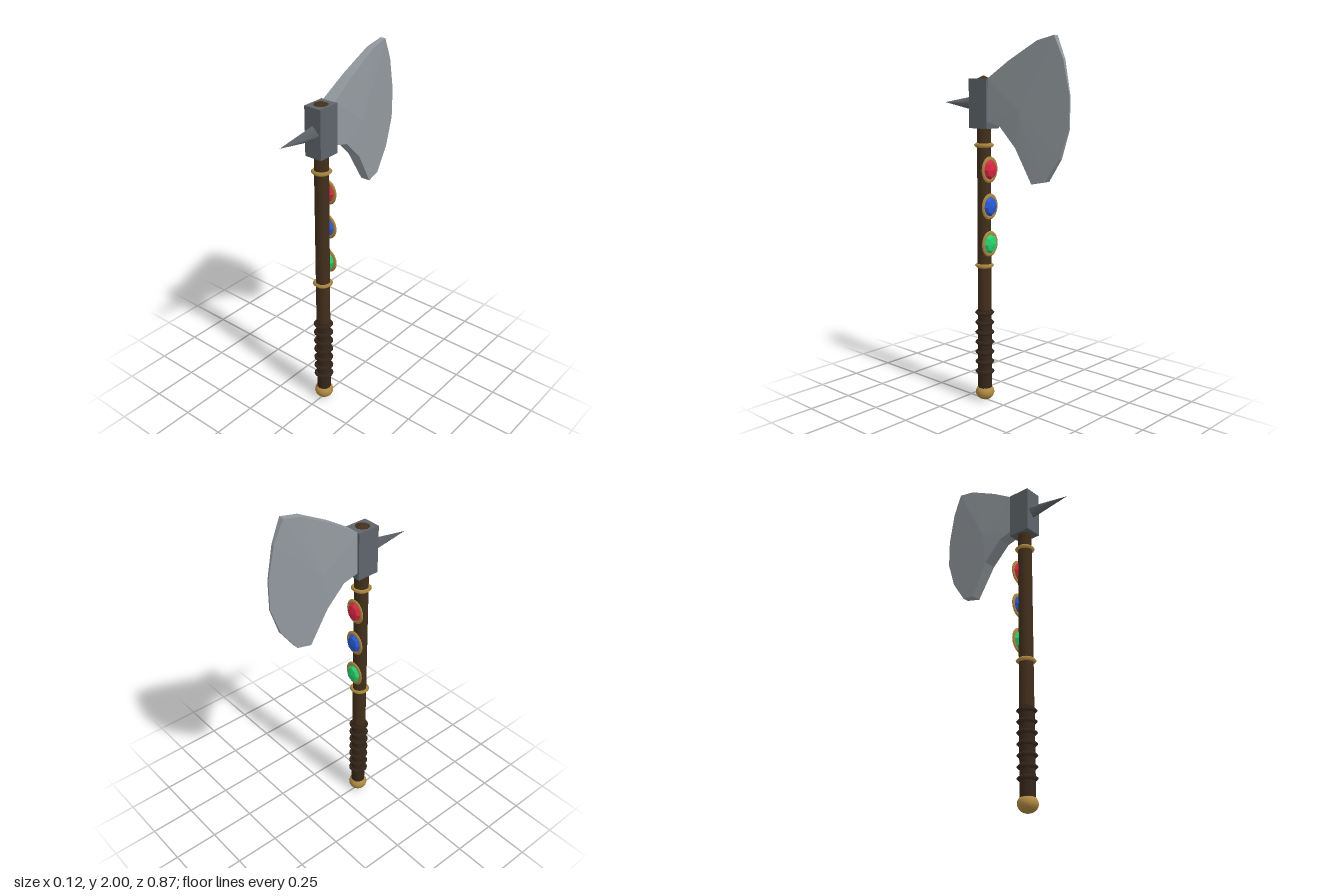
import * as THREE from 'three';

const mat = (name, color) => {
  const m = new THREE.MeshStandardMaterial({ color });
  m.name = name;
  return m;
};

// Bevelled blade: an outline of [z, y, half thickness] fanned to a raised centre on each side
function bladeGeometry(outline, centre) {
  const pos = [];
  const point = ([z, y, h], side) => [h * side, y, z];
  const tri = (a, b, c) => pos.push(...a, ...b, ...c);
  outline.forEach((a, i) => {
    const b = outline[(i + 1) % outline.length];
    // Left face, right face, then the rim
    tri(point(centre, 1), point(b, 1), point(a, 1));
    tri(point(centre, -1), point(a, -1), point(b, -1));
    tri(point(a, 1), point(b, 1), point(b, -1));
    tri(point(a, 1), point(b, -1), point(a, -1));
  });
  const g = new THREE.BufferGeometry();
  g.setAttribute('position', new THREE.Float32BufferAttribute(pos, 3));
  g.computeVertexNormals();
  return g;
}

export function createModel() {
  const axe = new THREE.Group();
  axe.name = 'battleAxe';
  const wood = mat('wood', 0x422f1b);
  const leather = mat('leather', 0x35261a);
  const gold = mat('gold', 0xb08a42);
  const iron = mat('iron', 0x5e656a);
  const steel = mat('steel', 0x92999e);
  const gems = [
    ['redGem', 1.31, mat('red', 0xd82742)],
    ['blueGem', 1.11, mat('blue', 0x2a58d4)],
    ['greenGem', 0.905, mat('green', 0x28d06e)],
  ];
  gems.forEach(([, , m]) => { m.flatShading = true; });
  const shaftZ = 0.141;

  const add = (name, geometry, material, x, y, z) => {
    const mesh = new THREE.Mesh(geometry, material);
    mesh.name = name;
    mesh.position.set(x, y, z);
    axe.add(mesh);
    return mesh;
  };

  // Sharp-edged ring around the shaft
  const addRing = (name, material, y) => {
    const ring = add(name, new THREE.TorusGeometry(0.042, 0.012, 4, 16), material, 0, y, shaftZ);
    ring.rotation.x = Math.PI / 2;
  };

  // Shaft, its pointed cap, the grip and the pommel
  add('shaft', new THREE.CylinderGeometry(0.038, 0.039, 1.73, 12), wood, 0, 0.925, shaftZ);
  add('shaftCap', new THREE.ConeGeometry(0.038, 0.018, 12), wood, 0, 1.798, shaftZ);
  add('grip', new THREE.CylinderGeometry(0.04, 0.04, 0.46, 12), leather, 0, 0.3, shaftZ);
  const pommel = add('pommel', new THREE.SphereGeometry(0.053, 16, 12), gold, 0, 0.045, shaftZ);
  pommel.scale.y = 0.85;

  // Leather wrap rings and gold bands
  for (let i = 0; i < 7; i++) addRing('gripRing', leather, 0.167 + i * 0.0573);
  for (const y of [0.78, 1.44]) addRing('goldBand', gold, y);

  // Faceted gems in oval settings on the blade side of the shaft
  for (const [name, y, material] of gems) {
    const setting = add('gemSetting', new THREE.TorusGeometry(0.05, 0.012, 4, 20), gold, 0, y, 0.1);
    setting.scale.set(1, 1.16, 0.65);
    const gem = add(name, new THREE.SphereGeometry(1, 8, 4), material, 0, y, 0.101);
    gem.rotation.x = -Math.PI / 2;
    gem.scale.set(0.05, 0.03, 0.058);
  }

  // Head block and back spike
  add('headBlock', new THREE.BoxGeometry(0.1, 0.26, 0.127), iron, 0, 1.66, 0.1395);
  const spike = add('spike', new THREE.ConeGeometry(0.04, 0.235, 4), iron, 0, 1.66, 0.3175);
  spike.rotation.x = Math.PI / 2;

  // Blade
  const outline = [
    [0.08, 1.79, 0.037], [-0.06, 1.88, 0.029], [-0.24, 1.976, 0.02], [-0.343, 2.0, 0.0145],
    [-0.397, 1.885, 0.0085], [-0.435, 1.71, 0.004], [-0.435, 1.55, 0.004], [-0.383, 1.4, 0.01],
    [-0.296, 1.278, 0.019], [-0.216, 1.262, 0.027], [-0.115, 1.44, 0.037], [-0.01, 1.545, 0.039],
    [0.08, 1.568, 0.04],
  ];
  add('blade', bladeGeometry(outline, [-0.14, 1.63, 0.038]), steel, 0, 0, 0);
  return axe;
}
